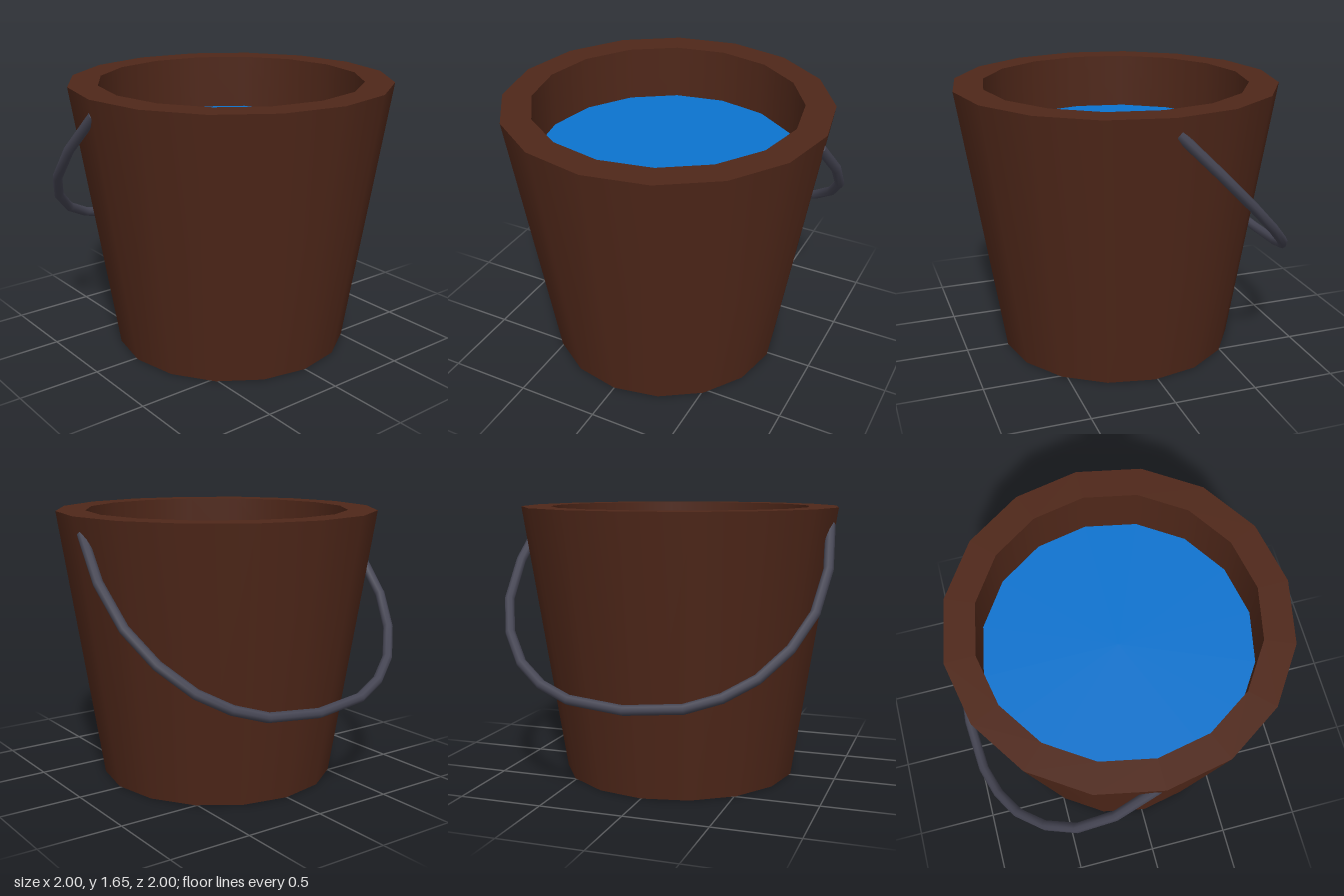
import * as THREE from 'three';

const SIDES = 16, TOP = 1.65, R_TOP = 0.977, R_BASE = 0.722, R_IN = 0.8, WATER_Y = 1.31;

const wood = new THREE.MeshStandardMaterial({ color: 0x4f2719 });
const woodInside = new THREE.MeshStandardMaterial({ color: 0x4f2719, side: THREE.BackSide });
const water = new THREE.MeshStandardMaterial({ color: 0x0c73cf });
const iron = new THREE.MeshStandardMaterial({ color: 0x454553 });

function add(parent, name, geometry, material, y = 0) {
  const mesh = new THREE.Mesh(geometry, material);
  mesh.name = name;
  mesh.position.y = y;
  parent.add(mesh);
  return mesh;
}

export function createModel() {
  const model = new THREE.Group();
  model.name = 'bucket';

  // Tapered body: outer wall, base, flat rim and straight inner wall
  const body = new THREE.Group();
  body.name = 'body';
  body.position.z = 0.018;
  model.add(body);
  add(body, 'outerWall', new THREE.CylinderGeometry(R_TOP, R_BASE, TOP, SIDES, 1, true), wood, TOP / 2);
  add(body, 'base', new THREE.CircleGeometry(R_BASE, SIDES).rotateX(Math.PI / 2), wood);
  add(body, 'rim', new THREE.RingGeometry(R_IN, R_TOP, SIDES).rotateX(-Math.PI / 2), wood, TOP);
  const depth = TOP - WATER_Y;
  add(body, 'innerWall', new THREE.CylinderGeometry(R_IN, R_IN, depth, SIDES, 1, true), woodInside, TOP - depth / 2);

  // Water surface
  add(body, 'water', new THREE.CircleGeometry(R_IN, SIDES).rotateX(-Math.PI / 2), water, WATER_Y);

  // Handle: half hoop hanging behind the bucket in a plane tilted 45 degrees
  const half = [[0.935, 0.01], [0.97, 0.25], [0.94, 0.47], [0.845, 0.645], [0.7, 0.79], [0.53, 0.885], [0.335, 0.945]];
  const path = [...half, [0, 0.972], ...half.map(([x, d]) => [-x, d]).reverse()];
  const curve = new THREE.CatmullRomCurve3(path.map(([x, d]) => new THREE.Vector3(x, 1.56 - d, -d)));
  // Sample at the control points so the bends stay faceted
  curve.getPointAt = curve.getPoint;
  curve.getTangentAt = curve.getTangent;
  add(model, 'handle', new THREE.TubeGeometry(curve, path.length - 1, 0.03, 8, false), iron);

  // Handle end caps
  for (const t of [0, 1]) {
    const cap = add(model, 'handleEnd', new THREE.CircleGeometry(0.03, 8), iron);
    cap.position.copy(curve.getPoint(t));
    const out = curve.getTangent(t).multiplyScalar(t ? 1 : -1);
    cap.quaternion.setFromUnitVectors(new THREE.Vector3(0, 0, 1), out);
  }
  return model;
}
